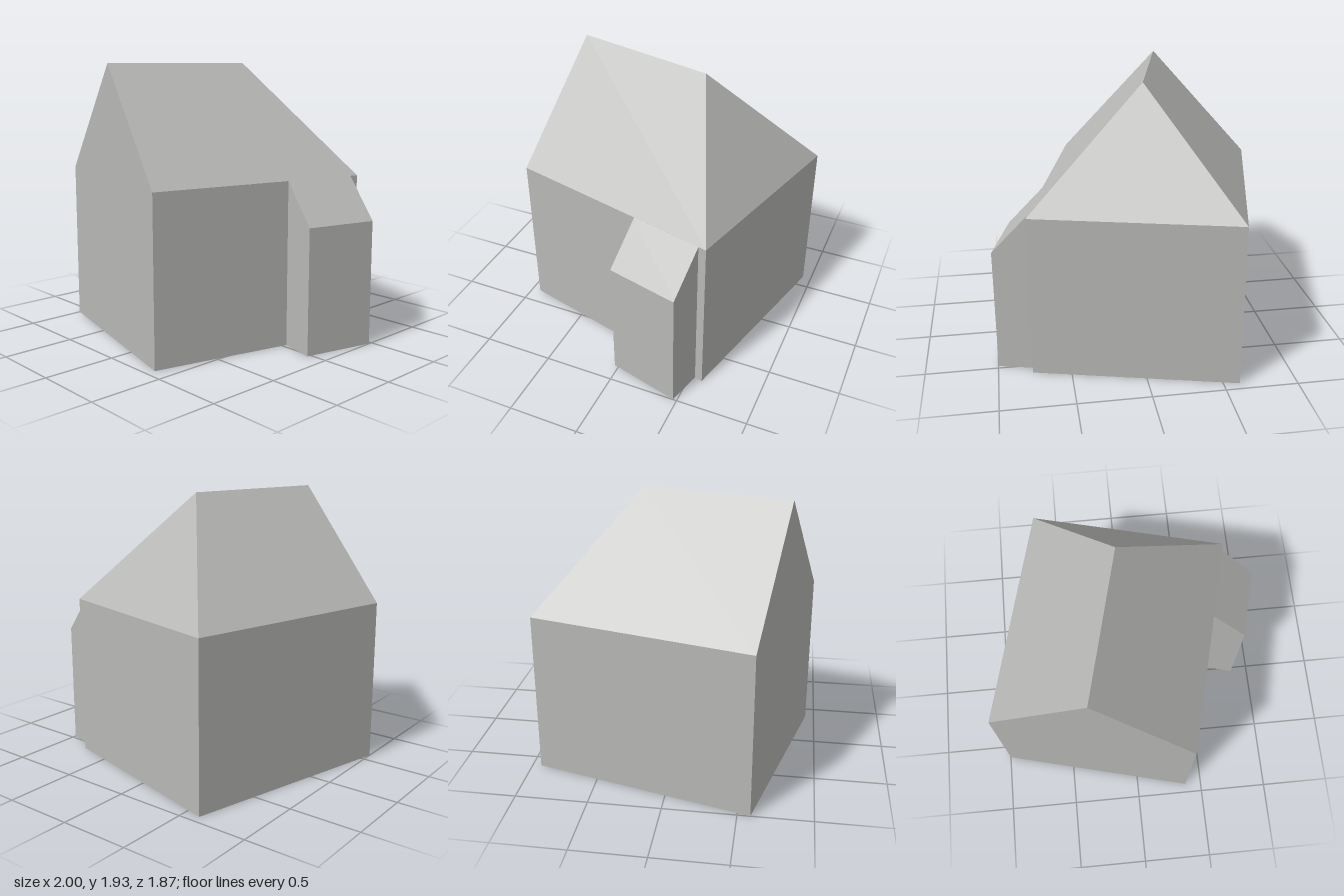
import * as THREE from 'three';

const EAVE = 1.15, LOW_EAVE = 0.872, RIDGE = 1.93;

// Plan corners [x, z, wall height], running round the house from the front left
const A = [-1, 0.587, EAVE], B = [0.377, 0.935, EAVE];
const C = [0.623, -0.033, EAVE], D = [0.87, 0.03, LOW_EAVE];
const E = [0.998, -0.473, LOW_EAVE], F = [0.751, -0.536, EAVE];
const G = [0.765, -0.592, EAVE], H = [-0.61, -0.938, EAVE];
// Ridge ends
const P = [-0.307, 0.761, RIDGE], Q = [-0.05, -0.257, RIDGE];

const top = ([x, z, h]) => [x, h, z];
const base = ([x, z]) => [x, 0, z];

// Flat convex faces, each fanned into triangles from its first corner
function facesMesh(name, faces, material) {
  const positions = [];
  for (const face of faces) {
    for (let i = 1; i < face.length - 1; i++) {
      positions.push(...face[0], ...face[i], ...face[i + 1]);
    }
  }
  const geometry = new THREE.BufferGeometry();
  geometry.setAttribute('position', new THREE.Float32BufferAttribute(positions, 3));
  geometry.computeVertexNormals();
  const mesh = new THREE.Mesh(geometry, material);
  mesh.name = name;
  return mesh;
}

export function createModel() {
  const house = new THREE.Group();
  house.name = 'house';
  const plaster = new THREE.MeshStandardMaterial({ color: 0xb8b8b6 });
  plaster.name = 'light grey';

  const wall = (a, b) => [base(a), base(b), top(b), top(a)];
  const add = (name, ...faces) => house.add(facesMesh(name, faces, plaster));

  // Walls
  add('frontGableWall', [base(A), base(B), top(B), top(P), top(A)]);
  add('rightWall', wall(B, C), wall(F, G));
  add('extensionWalls', wall(C, D), wall(D, E), wall(E, F));
  add('backWall', wall(G, H));
  add('leftWall', wall(H, A));

  // Roof: gable at the front, hip at the back, lower slope over the extension
  add('leftRoof', [A, P, Q, H].map(top));
  add('hipRoof', [H, Q, G].map(top));
  add('rightRoof', [P, B, G, Q].map(top));
  add('extensionRoof', [C, D, E, F].map(top));

  // Underside
  add('floor', [H, G, B, A].map(base), [F, E, D, C].map(base));

  return house;
}
